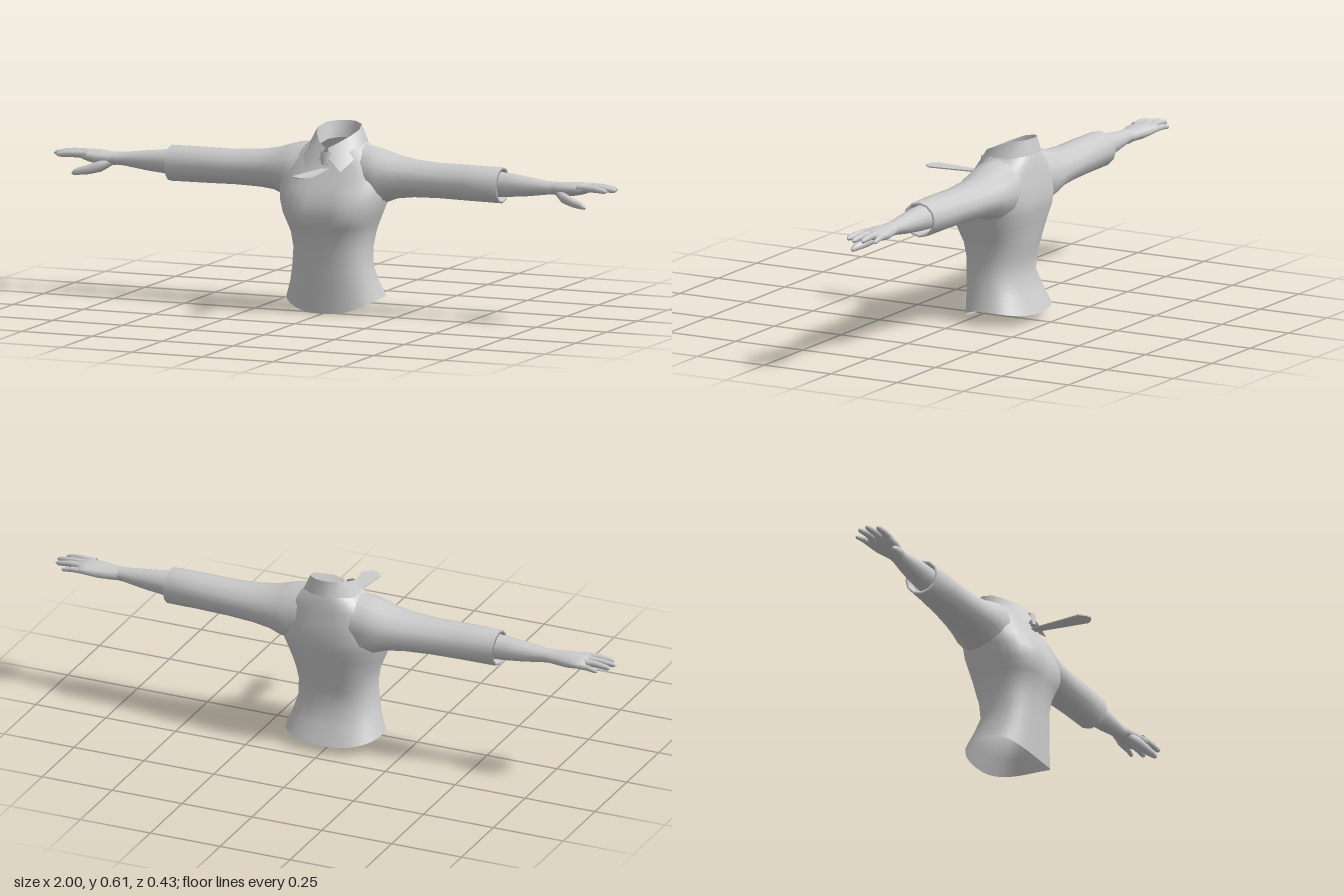
import * as THREE from 'three';

const material = new THREE.MeshStandardMaterial({ color: 0xcccccc, side: THREE.DoubleSide });
const V = (x, y, z) => new THREE.Vector3(x, y, z);

// Skins a list of point rows; closed rows wrap round into a tube.
function loft(name, rows, closed = true) {
  const n = rows[0].length, index = [];
  for (let r = 0; r < rows.length - 1; r++) {
    for (let i = 0; i < (closed ? n : n - 1); i++) {
      const j = (i + 1) % n, a = r * n + i, b = r * n + j;
      index.push(a, a + n, b, b, a + n, b + n);
    }
  }
  const geometry = new THREE.BufferGeometry().setFromPoints(rows.flat());
  geometry.setIndex(index);
  geometry.computeVertexNormals();
  return named(name, geometry);
}

function named(name, geometry) {
  const mesh = new THREE.Mesh(geometry, material);
  mesh.name = name;
  return mesh;
}

// Tube along x from sections [x, bottom, top, back, front].
function limb(name, sections, sides = 12) {
  return loft(name, sections.map(([x, y0, y1, z0, z1]) =>
    Array.from({ length: sides }, (_, i) => {
      const a = (i / sides) * Math.PI * 2;
      return V(x, (y0 + y1) / 2 + Math.cos(a) * (y1 - y0) / 2,
        (z0 + z1) / 2 - Math.sin(a) * (z1 - z0) / 2);
    })));
}

// Finger from joints [x, y, z, radius], closed at the tip.
function finger(name, joints) {
  return limb(name, joints.map(([x, y, z, r]) => [x, y - r, y + r, z - r, z + r]), 8);
}

// Torso ring: heights at front, side and back, half width, front z, back z.
function torsoRing([yF, yS, yB, w, zF, zB]) {
  const sides = 32;
  const soft = (v) => Math.sign(v) * Math.abs(v) ** 0.82;
  return Array.from({ length: sides }, (_, i) => {
    const a = (i / sides) * Math.PI * 2, s = Math.sin(a);
    const x = w * soft(Math.cos(a));
    const y = yS + ((s > 0 ? yF : yB) - yS) * s * s;
    let z = (zF + zB) / 2 + soft(s) * (zF - zB) / 2;
    // shallow hollow down the middle of the chest and along the spine
    const chest = Math.exp(-(((y - 0.34) / 0.06) ** 2));
    const middle = Math.exp(-((x / 0.035) ** 2));
    z += (s > 0 ? -0.012 : 0.006) * chest * middle;
    return V(x, y, z);
  });
}

function createArm() {
  const arm = new THREE.Group();
  arm.add(limb('sleeve', [
    [0.08, 0.38, 0.552, -0.195, -0.03],
    [0.13, 0.355, 0.546, -0.202, -0.01],
    [0.17, 0.362, 0.535, -0.2, -0.012],
    [0.21, 0.378, 0.522, -0.194, -0.02],
    [0.27, 0.386, 0.512, -0.184, -0.028],
    [0.36, 0.389, 0.506, -0.172, -0.032],
    [0.47, 0.388, 0.507, -0.162, -0.033],
    [0.588, 0.387, 0.506, -0.156, -0.036],
    [0.59, 0.395, 0.498, -0.148, -0.044],
    [0.55, 0.398, 0.495, -0.145, -0.047],
  ]));
  arm.add(limb('forearm', [
    [0.53, 0.405, 0.492, -0.138, -0.052],
    [0.61, 0.41, 0.49, -0.135, -0.054],
    [0.68, 0.417, 0.482, -0.128, -0.058],
    [0.75, 0.427, 0.473, -0.119, -0.063],
    [0.78, 0.429, 0.472, -0.119, -0.06],
  ]));
  arm.add(limb('palm', [
    [0.77, 0.429, 0.472, -0.119, -0.062],
    [0.8, 0.427, 0.472, -0.124, -0.055],
    [0.84, 0.428, 0.475, -0.136, -0.046],
    [0.875, 0.435, 0.474, -0.143, -0.045],
    [0.9, 0.444, 0.472, -0.143, -0.048],
    [0.91, 0.457, 0.46, -0.125, -0.07],
  ]));

  // four fingers: z at the knuckle, z at the tip, tip x
  [['indexFinger', -0.06, -0.052, 0.98], ['middleFinger', -0.084, -0.082, 1.0],
    ['ringFinger', -0.108, -0.112, 0.992], ['littleFinger', -0.131, -0.14, 0.96],
  ].forEach(([name, z0, z1, tip], i) => {
    const r = i === 3 ? 0.0105 : 0.0125, y = 0.46 - (i === 3 ? 0.006 : 0);
    const x = 0.885, mid = (x + tip) / 2;
    arm.add(finger(name, [
      [x - 0.015, y, z0, r], [mid, y + 0.001, (z0 + z1) / 2, r * 0.9],
      [tip - 0.01, y - 0.003, z1, r * 0.7], [tip, y - 0.004, z1, 0.001],
    ]));
  });
  arm.add(finger('thumb', [
    [0.79, 0.44, -0.075, 0.012], [0.82, 0.427, -0.056, 0.019],
    [0.86, 0.415, -0.042, 0.016], [0.895, 0.408, -0.033, 0.012],
    [0.908, 0.404, -0.03, 0.008], [0.914, 0.402, -0.028, 0.001],
  ]));
  return arm;
}

function createCollar() {
  // one half of each edge, from the front opening to the back of the neck
  const top = [[0.005, 0.545, -0.012], [0.035, 0.562, -0.03], [0.06, 0.58, -0.07],
    [0.074, 0.596, -0.11], [0.062, 0.607, -0.155], [0.032, 0.611, -0.181], [0, 0.612, -0.188]];
  const hem = [[0.018, 0.51, 0.008], [0.062, 0.473, 0.018], [0.092, 0.512, -0.03],
    [0.098, 0.54, -0.09], [0.088, 0.553, -0.15], [0.046, 0.56, -0.188], [0, 0.56, -0.198]];
  const inner = top.map(([x, y, z]) => [x * 0.87, y - 0.055, -0.1 + (z + 0.1) * 0.82]);
  const full = (half) => [
    ...half.map((p) => V(...p)),
    ...half.slice(0, -1).reverse().map(([x, y, z]) => V(-x, y, z)),
  ];
  const collar = new THREE.Group();
  collar.name = 'collar';
  collar.add(loft('collarLeaf', [full(top), full(hem)], false));
  collar.add(loft('collarBand', [full(inner), full(top)], false));
  return collar;
}

function createTie() {
  const tie = new THREE.Group();
  tie.name = 'tie';

  // knot tapers towards its lower end
  const knot = new THREE.CylinderGeometry(0.02, 0.012, 0.04, 8);
  knot.scale(1, 1, 0.7);
  const knotMesh = named('tieKnot', knot);
  knotMesh.position.set(0, 0.512, -0.001);
  knotMesh.rotation.x = -0.25;
  tie.add(knotMesh);

  // blade stretches straight forward
  const outline = new THREE.Shape([[-0.012, -0.01], [0.012, -0.01], [0.034, 0.19],
    [0.016, 0.209], [0, 0.215], [-0.016, 0.209], [-0.034, 0.19]].map((p) => new THREE.Vector2(...p)));
  const blade = new THREE.ExtrudeGeometry(outline, { depth: 0.004, bevelEnabled: false });
  blade.rotateX(Math.PI / 2);
  const bladeMesh = named('tieBlade', blade);
  bladeMesh.position.y = 0.479;
  tie.add(bladeMesh);
  return tie;
}

export function createModel() {
  const model = new THREE.Group();
  model.name = 'shirtedUpperBody';

  model.add(loft('torso', [
    [0.003, 0.05, 0.03, 0.165, 0.028, -0.21],
    [0.08, 0.1, 0.09, 0.146, 0.03, -0.184],
    [0.15, 0.15, 0.15, 0.134, 0.032, -0.16],
    [0.21, 0.21, 0.21, 0.13, 0.035, -0.168],
    [0.26, 0.26, 0.26, 0.138, 0.044, -0.182],
    [0.29, 0.29, 0.29, 0.148, 0.057, -0.189],
    [0.325, 0.325, 0.325, 0.162, 0.07, -0.198],
    [0.37, 0.37, 0.37, 0.178, 0.062, -0.21],
    [0.41, 0.41, 0.41, 0.184, 0.042, -0.214],
    [0.45, 0.46, 0.46, 0.178, 0.017, -0.208],
    [0.475, 0.505, 0.51, 0.15, 0.004, -0.2],
    [0.49, 0.535, 0.54, 0.115, -0.004, -0.195],
    [0.5, 0.555, 0.558, 0.088, -0.008, -0.188],
  ].map(torsoRing)));

  // arms mirrored across the middle
  for (const side of [1, -1]) {
    const arm = createArm();
    arm.name = side > 0 ? 'leftArm' : 'rightArm';
    arm.scale.x = side;
    model.add(arm);
  }

  model.add(createCollar(), createTie());
  return model;
}
